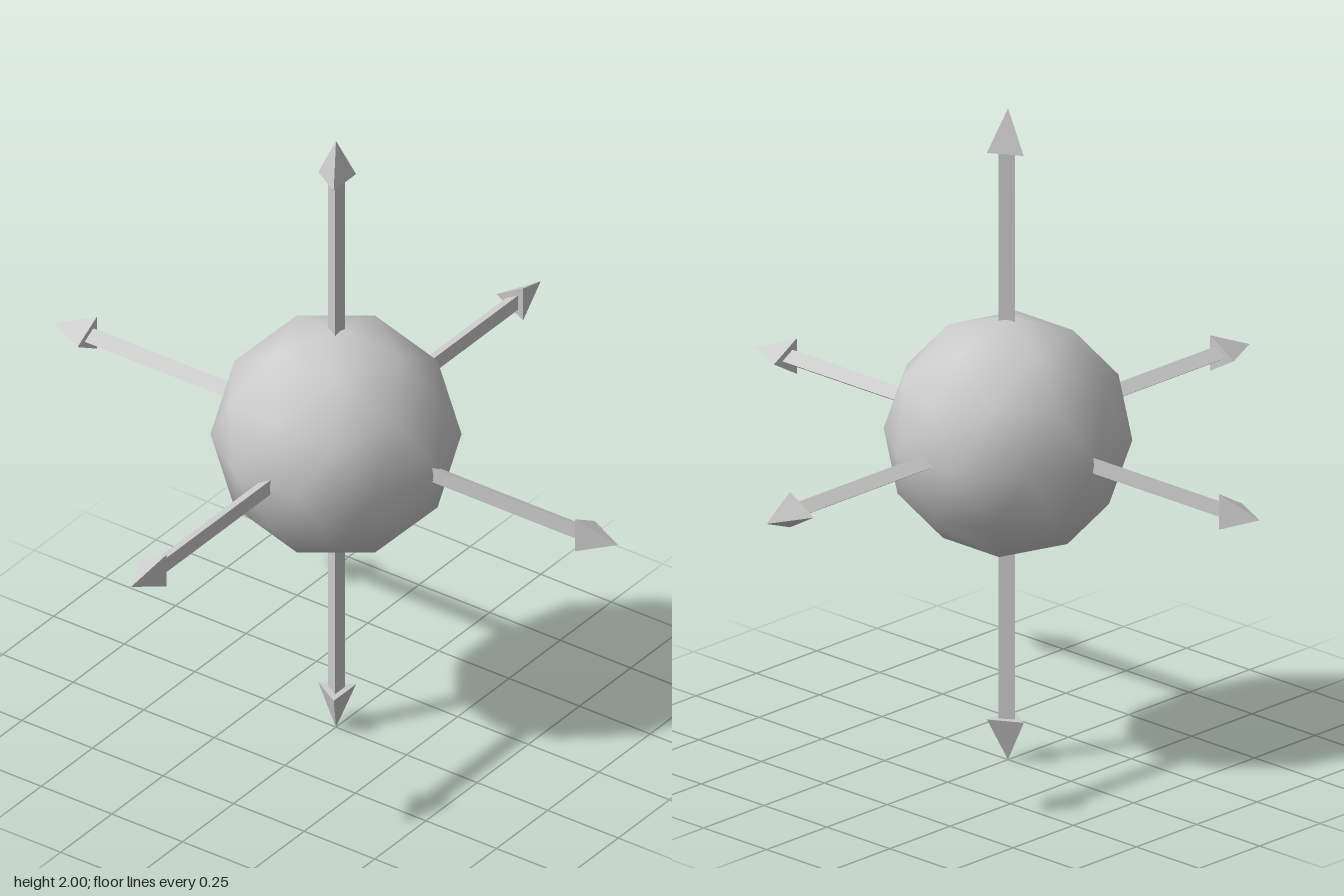
import * as THREE from 'three';

const CENTRE_Y = 1;
const BALL_RADIUS = 0.36;
const HEAD_LENGTH = 0.13;

export function createModel() {
  const model = new THREE.Group();
  const smooth = new THREE.MeshStandardMaterial({ color: 0xcccccc });
  const faceted = new THREE.MeshStandardMaterial({ color: 0xcccccc, flatShading: true });

  // Central ball: icosphere turned so that one corner points straight up
  const ballGeometry = new THREE.IcosahedronGeometry(BALL_RADIUS, 1);
  ballGeometry.rotateZ(-Math.atan(2 / (1 + Math.sqrt(5))));
  const ball = new THREE.Mesh(ballGeometry, smooth);
  ball.name = 'ball';
  ball.position.y = CENTRE_Y;
  model.add(ball);

  // Three-sided arrow along +y, with one edge toward -z
  const shaftStart = 0.25;
  const shaftEnd = 1 - HEAD_LENGTH;
  const shaftGeometry = new THREE.CylinderGeometry(
    0.028, 0.028, shaftEnd - shaftStart, 3, 1, false, Math.PI);
  shaftGeometry.translate(0, (shaftStart + shaftEnd) / 2, 0);
  const headGeometry = new THREE.ConeGeometry(0.063, HEAD_LENGTH, 3, 1, false, Math.PI);
  headGeometry.translate(0, 1 - HEAD_LENGTH / 2, 0);

  function addArrow(name, turnY, turnZ) {
    const arrow = new THREE.Group();
    arrow.name = name;
    const shaft = new THREE.Mesh(shaftGeometry, faceted);
    shaft.name = 'shaft';
    const head = new THREE.Mesh(headGeometry, faceted);
    head.name = 'arrowhead';
    arrow.add(shaft, head);
    arrow.position.y = CENTRE_Y;
    arrow.rotation.set(0, turnY, turnZ); // tilts first, then swings about y
    model.add(arrow);
  }

  const quarter = Math.PI / 2;
  addArrow('upArrow', 0, 0);
  addArrow('downArrow', 0, Math.PI);
  addArrow('leftArrow', 0, -quarter);
  addArrow('rightArrow', 0, quarter);
  addArrow('frontArrow', -quarter, -quarter);
  addArrow('backArrow', quarter, -quarter);

  return model;
}
